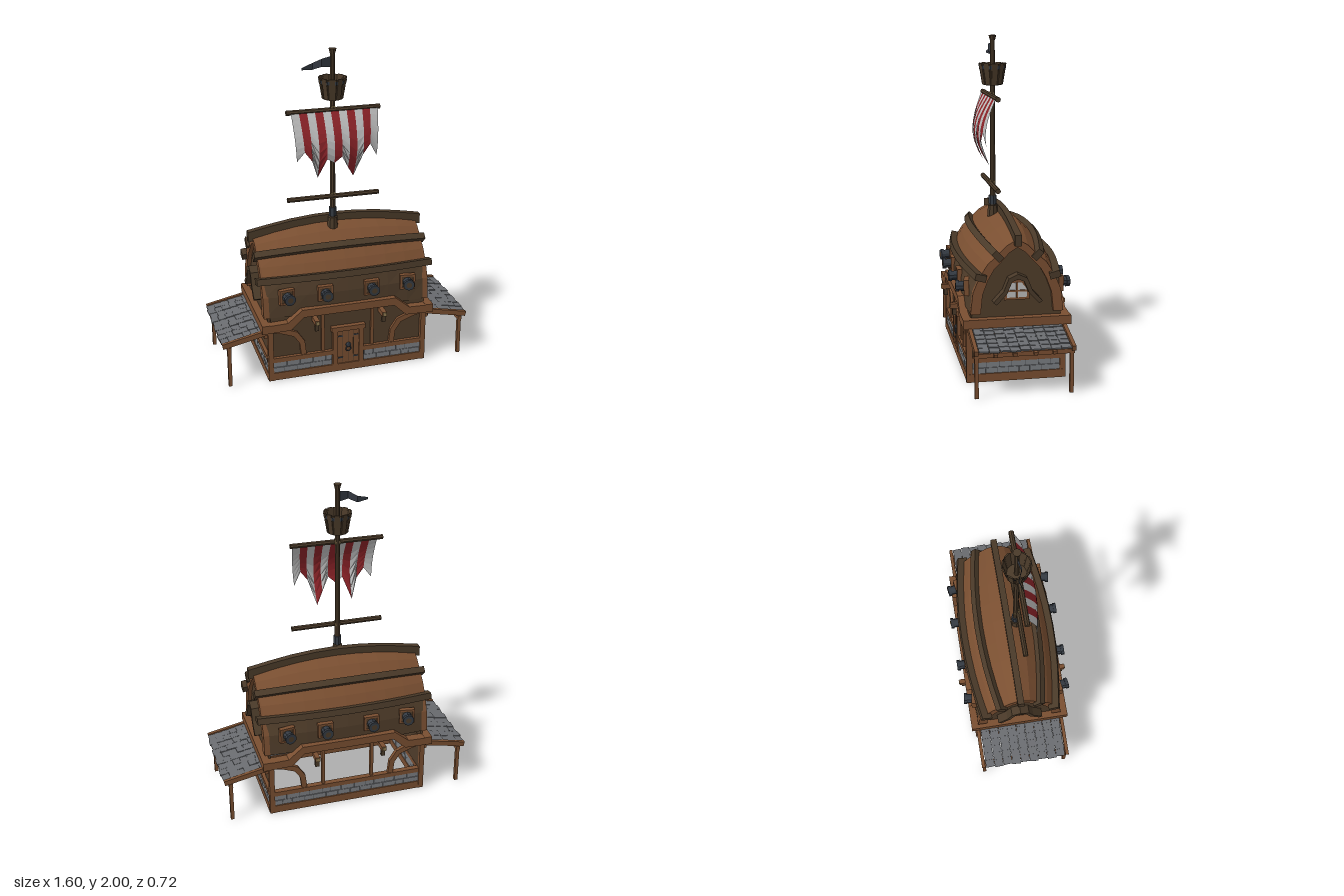
import * as THREE from 'three';

const mat = (name, color) => {
  const m = new THREE.MeshStandardMaterial({ color, side: THREE.DoubleSide, flatShading: true });
  m.name = name;
  return m;
};
const M = {
  timber: mat('timber', 0x7a4f31), wall: mat('wallWood', 0x503d2a), beam: mat('beamWood', 0x4a3a29),
  stone: mat('stone', 0x7b7e82), mortar: mat('mortar', 0x505357), tile: mat('roofTile', 0x6a6c70),
  iron: mat('iron', 0x343a42), red: mat('redCloth', 0x8c2328), white: mat('whiteCloth', 0xbdbdbd),
  rope: mat('rope', 0x8f7a50),
};
const V = (x, y, z) => new THREE.Vector3(x, y, z);

function add(parent, name, geo, material, x = 0, y = 0, z = 0) {
  const m = new THREE.Mesh(geo, material);
  m.name = name;
  m.position.set(x, y, z);
  parent.add(m);
  return m;
}
const box = (p, name, m, x, y, z, w, h, d) => add(p, name, new THREE.BoxGeometry(w, h, d), m, x, y, z);
const cyl = (p, name, m, x, y, z, rt, rb, h, n = 8, open = false) =>
  add(p, name, new THREE.CylinderGeometry(rt, rb, h, n, 1, open), m, x, y, z);

// Box stretched between two points of the x-y plane
function bar(p, name, m, a, b, thick, z, depth) {
  const dx = b[0] - a[0], dy = b[1] - a[1];
  const o = box(p, name, m, (a[0] + b[0]) / 2, (a[1] + b[1]) / 2, z, Math.hypot(dx, dy) + thick * 0.3, thick, depth);
  o.rotation.z = Math.atan2(dy, dx);
  return o;
}

// Faceted skin over a row of cross-sections
function loft(sections, closed = false) {
  const out = [], n = sections[0].length;
  const tri = (...ps) => ps.forEach(v => out.push(v.x, v.y, v.z));
  for (let i = 0; i < sections.length - 1; i++) {
    for (let j = 0; j < (closed ? n : n - 1); j++) {
      const k = (j + 1) % n, A = sections[i], B = sections[i + 1];
      tri(A[j], B[j], B[k]);
      tri(A[j], B[k], A[k]);
    }
  }
  if (closed) for (let j = 1; j < n - 1; j++) {
    const A = sections[0], B = sections[sections.length - 1];
    tri(A[0], A[j], A[j + 1]);
    tri(B[0], B[j + 1], B[j]);
  }
  const g = new THREE.BufferGeometry();
  g.setAttribute('position', new THREE.Float32BufferAttribute(out, 3));
  g.computeVertexNormals();
  return g;
}
const shapeOf = pts => new THREE.Shape(pts.map(p => new THREE.Vector2(p[0], p[1])));
const slab = (pts, depth) => new THREE.ExtrudeGeometry(shapeOf(pts), { depth, bevelEnabled: false });

// Hull half-profiles [z, y] at the middle and at the ends
const MID = [[.29, .42], [.29, .55], [.27, .66], [.225, .735], [.17, .80], [.09, .875], [0, .92]];
const END = [[.27, .42], [.255, .55], [.215, .645], [.17, .715], [.115, .765], [.06, .82], [0, .855]];
const hullPoint = (i, x) => {
  const f = 1 - Math.min(1, (x / .54) ** 2);
  return [0, 1].map(k => END[i][k] + (MID[i][k] - END[i][k]) * f);
};
const stations = half => Array.from({ length: 9 }, (_, i) => half * (i / 4 - 1));

function buildHull(root) {
  const panel = (name, m, a, b, s) => add(root, name, loft(stations(.52).map(x => {
    const row = [];
    for (let i = a; i <= b; i++) { const [z, y] = hullPoint(i, x); row.push(V(x, y, s * z)); }
    return row;
  })), m);
  const rib = (name, i, angle, half, s) => add(root, name, loft(stations(half).map(x => {
    const [z, y] = hullPoint(i, x), c = Math.cos(angle), n = Math.sin(angle);
    return [[-.03, -.02], [.035, -.02], [.035, .02], [-.03, .02]].map(([u, v]) =>
      V(x, y + u * n + v * c, s * (z + u * c - v * n)));
  }), true), M.beam);
  for (const s of [1, -1]) {
    panel('hullWall', M.wall, 0, 2, s);
    panel('roofPlanking', M.timber, 2, 6, s);
    rib('lowerRib', 2, .25, .56, s);
    rib('upperRib', 4, .8, .55, s);
  }
  rib('ridgeBeam', 6, Math.PI / 2, .56, 1);
}

// Seeded brick row along x, two courses high
let seed = 7;
const rnd = () => (seed = (seed * 16807) % 2147483647) / 2147483647;
function bricks(p, x0, x1, z) {
  box(p, 'mortar', M.mortar, (x0 + x1) / 2, .086, z, x1 - x0, .072, .018);
  for (let r = 0; r < 2; r++) for (let x = x0; x < x1 - .005;) {
    let w = .05 + rnd() * .04;
    if (x + w > x1 - .03) w = x1 - x;
    box(p, 'stoneBlock', M.stone, x + w / 2, .068 + r * .036, z, w - .004, .033, .026 + rnd() * .006);
    x += w;
  }
}

// One long side, facing +z
function buildLongSide(isFront) {
  const g = new THREE.Group();
  g.name = isFront ? 'frontSide' : 'backSide';
  box(g, 'sillBeam', M.timber, 0, .025, .275, 1.02, .05, .04);
  const trim = [[.55, .34], [.55, .39], [.39, .395], [.30, .47]];
  const under = [[.29, .42], [.37, .345]];
  const mx = a => a.map(([x, y]) => [-x, y]);
  add(g, 'eaveTrim', slab([...trim, ...mx(trim).reverse(), ...mx(under).reverse(), ...under], .06), M.timber, 0, 0, .26);
  if (isFront) {
    box(g, 'wallPanel', M.wall, 0, .295, .265, .98, .31, .012);
    box(g, 'door', M.timber, 0, .165, .278, .14, .23, .02);
    for (const x of [-.035, 0, .035]) box(g, 'doorSeam', M.wall, x, .165, .289, .003, .21, .003);
    for (const y of [.09, .24]) for (const s of [1, -1]) box(g, 'doorHinge', M.iron, s * .05, y, .29, .03, .008, .005);
    box(g, 'lintel', M.timber, 0, .295, .28, .22, .03, .045);
    const knob = add(g, 'doorKnocker', new THREE.IcosahedronGeometry(.02, 0), M.iron, 0, .175, .292);
    knob.scale.z = .6;
    add(g, 'knockerRing', new THREE.TorusGeometry(.016, .004, 5, 10), M.iron, 0, .15, .295);
  } else {
    bricks(g, -.48, .48, .275);
    box(g, 'rail', M.timber, 0, .135, .275, .96, .03, .035);
  }
  for (const s of [1, -1]) {
    box(g, 'cornerPost', M.timber, s * .495, .18, .28, .032, .36, .035);
    box(g, 'studPost', M.timber, s * .16, .285, .27, .02, .29, .025);
    if (isFront) {
      box(g, 'doorPost', M.timber, s * .085, .165, .28, .03, .24, .035);
      bricks(g, s > 0 ? .105 : -.48, s > 0 ? .48 : -.105, .275);
      box(g, 'rail', M.timber, s * .29, .135, .275, .38, .03, .035);
    }
    // Curved brace in short straight pieces
    const arc = [[.285, .15], [.295, .235], [.335, .295], [.41, .325], [.49, .345]];
    for (let i = 0; i < 4; i++) {
      bar(g, 'curvedBrace', M.timber, [s * arc[i][0], arc[i][1]], [s * arc[i + 1][0], arc[i + 1][1]], .034, .276, .025);
    }
    box(g, 'beamStub', M.timber, s * .215, .385, .315, .03, .03, .08);
    box(g, 'lantern', M.beam, s * .215, .347, .33, .024, .04, .024);
    box(g, 'lanternCap', M.rope, s * .215, .385, .357, .02, .024, .006);
    // Cannons in their ports
    for (const x of [.148, .388]) {
      const c = new THREE.Group();
      c.name = 'cannon';
      c.position.set(s * x, .555, x > .3 ? .272 : .285);
      c.rotation.y = x > .3 ? s * -.15 : 0;
      g.add(c);
      box(c, 'portBoard', M.wall, 0, 0, .005, .08, .08, .02);
      for (const k of [1, -1]) {
        box(c, 'portFrame', M.timber, 0, k * .042, .006, .096, .012, .03);
        box(c, 'portFrame', M.timber, k * .042, 0, .006, .012, .096, .03);
      }
      cyl(c, 'barrel', M.iron, 0, 0, .035, .028, .031, .07, 10).rotation.x = Math.PI / 2;
      cyl(c, 'muzzleRing', M.iron, 0, 0, .06, .035, .035, .02, 10).rotation.x = Math.PI / 2;
      add(c, 'bore', new THREE.CircleGeometry(.018, 10), M.beam, 0, 0, .0715);
    }
  }
  return g;
}

// One gable end with its lean-to roof, facing +x
function buildEnd() {
  const g = new THREE.Group();
  g.name = 'gableEnd';
  const arch = (kz, ky) => {
    const h = END.map(([z, y]) => [z * kz, .42 + (y - .42) * ky]);
    return [...h, ...h.slice(0, -1).reverse().map(([z, y]) => [-z, y])];
  };
  const plate = (name, pts, depth, m, x) => add(g, name, slab(pts, depth).rotateY(-Math.PI / 2), m, x);
  plate('gableTrim', [...arch(1.02, 1.01), ...arch(.8, .9).reverse()], .035, M.timber, .53);
  plate('gableWall', [[.27, .36], ...arch(.97, .98), [-.27, .36]], .012, M.wall, .505);
  box(g, 'gableBeam', M.timber, .525, .368, 0, .05, .052, .64);
  // Window with hood
  plate('windowFrame', [[.075, .495], [.075, .57], [.035, .615], [-.035, .615], [-.075, .57], [-.075, .495]], .012, M.timber, .517);
  plate('windowPane', [[.058, .51], [.058, .56], [.028, .598], [-.028, .598], [-.058, .56], [-.058, .51]], .004, M.white, .52);
  box(g, 'mullion', M.timber, .521, .555, 0, .008, .09, .01);
  box(g, 'crossBar', M.timber, .521, .55, 0, .008, .01, .12);
  for (const s of [1, -1]) {
    const hood = [[0, .66], [.055, .635], [.085, .56], [.145, .495], [.125, .48], [.065, .545], [.035, .615], [0, .63]];
    plate('windowHood', hood.map(([z, y]) => [s * z, y]), .055, M.beam, .56);
  }
  // Lower end wall
  box(g, 'sillBeam', M.timber, .495, .025, 0, .035, .05, .56);
  box(g, 'rail', M.timber, .495, .135, 0, .035, .03, .54);
  box(g, 'endWall', M.wall, .485, .25, 0, .012, .22, .55);
  const low = new THREE.Group();
  low.name = 'stoneBase';
  low.rotation.y = Math.PI / 2;
  bricks(low, -.262, .262, .495);
  g.add(low);
  // Lean-to: rafters, posts and overlapping tiles
  const roofY = x => .335 - (x - .51) * .21;
  for (const z of [-.28, -.17, -.06, .06, .17, .28]) {
    const edge = Math.abs(z) > .25;
    bar(g, 'rafter', M.timber, [.5, roofY(.5) - (edge ? 0 : .02)], [.785, roofY(.785) - (edge ? 0 : .02)], edge ? .032 : .02, z, .022);
  }
  box(g, 'awningBeam', M.timber, .75, .252, 0, .025, .025, .58);
  box(g, 'awningLedger', M.timber, .52, .305, 0, .025, .03, .56);
  for (const z of [-.275, .275]) box(g, 'awningPost', M.timber, .75, .125, z, .022, .25, .022);
  for (let r = 0; r < 6; r++) for (let k = 0; k < 9; k++) {
    const x = .535 + r * .046;
    const t = box(g, 'roofTile', M.tile, x + (k % 2) * .006, roofY(x) + .004 + rnd() * .003, -.236 + k * .059, .056, .009, .057);
    t.rotation.set((rnd() - .5) * .08, (rnd() - .5) * .16, -.13);
  }
  return g;
}

function buildMast(root) {
  const g = new THREE.Group();
  g.name = 'mast';
  g.position.set(-.03, 0, .05);
  root.add(g);
  cyl(g, 'mastPole', M.beam, 0, 1.43, 0, .014, .018, 1.12);
  cyl(g, 'mastFoot', M.beam, 0, .91, 0, .03, .035, .08);
  cyl(g, 'mastCollar', M.iron, 0, .985, 0, .025, .025, .055);
  cyl(g, 'mastHead', M.beam, 0, 1.985, 0, .024, .016, .03);
  for (const y of [1.09, 1.635]) {
    cyl(g, 'yard', M.beam, 0, y, .015, .016, .016, .58).rotation.z = Math.PI / 2;
    for (const a of [.7, -.7]) {
      const knot = add(g, 'yardLashing', new THREE.TorusGeometry(.021, .006, 5, 8), M.rope, 0, y, .008);
      knot.rotation.set(0, Math.PI / 2 + a, 0);
    }
  }
  // Lookout basket
  cyl(g, 'basketSide', M.beam, 0, 1.765, 0, .08, .058, .13, 10, true);
  cyl(g, 'basketFloor', M.beam, 0, 1.705, 0, .058, .056, .012, 10);
  cyl(g, 'basketBand', M.iron, 0, 1.808, 0, .085, .082, .022, 10, true);
  for (let i = 0; i < 10; i++) {
    const a = (i + .5) / 10 * Math.PI * 2, d = new THREE.Group();
    d.name = 'basketStave';
    d.rotation.y = a;
    box(d, 'stave', M.beam, 0, 1.768, .069, .032, .13, .008).rotation.x = .17;
    g.add(d);
  }
  // Swallow-tailed flag
  const flag = [[-.01, 1.955, 1.89, 0], [-.07, 1.945, 1.898, .015], [-.12, 1.918, 1.878, -.01], [-.19, 1.897, 1.884, .01]];
  add(g, 'flag', loft(flag.map(([x, t, b, z]) => [V(x, t, z), V(x, b, z)])), M.iron);
  // Torn striped sail, bellied forward
  const hem = [1.35, 1.41, 1.35, 1.23, 1.36, 1.33, 1.37, 1.29, 1.22, 1.37, 1.43, 1.35];
  const edge = i => Array.from({ length: 8 }, (_, j) => {
    const t = j / 7, y = 1.63 + (hem[i] - 1.63) * t, u = i / 11 * 2 - 1;
    const belly = Math.sin(Math.PI * Math.min(1, (1.63 - y) / .43));
    return V(u * (.268 - .02 * t) + .005, y, .03 + belly * (.085 - .03 * u * u));
  });
  for (let i = 0; i < 11; i++) {
    add(g, 'sailStripe', loft([edge(i), edge(i + 1)]), i % 2 ? M.red : M.white);
  }
}

export function createModel() {
  const root = new THREE.Group();
  root.name = 'shipTavern';
  buildHull(root);
  const back = buildLongSide(false), left = buildEnd(), right = buildEnd();
  back.rotation.y = right.rotation.y = Math.PI;
  root.add(buildLongSide(true), back, left, right);
  buildMast(root);
  return root;
}
